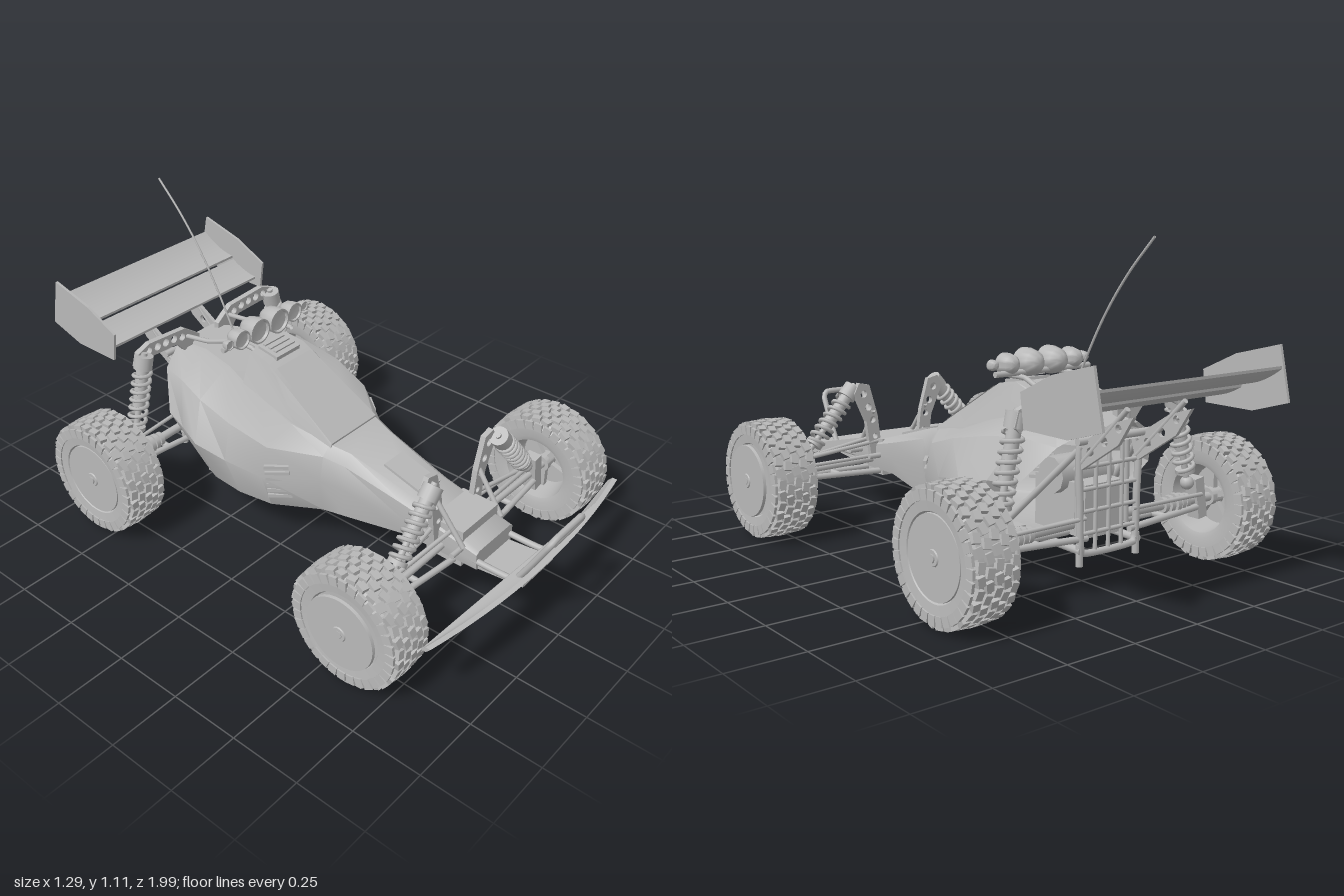
import * as THREE from 'three';
import { mergeGeometries, toCreasedNormals } from 'three/addons/utils/BufferGeometryUtils.js';

const grey = new THREE.MeshStandardMaterial({ color: 0xb8b8b8, side: THREE.DoubleSide });
grey.name = 'plain grey';
const V = (p) => new THREE.Vector3(...p);

export function createModel() {
  const car = new THREE.Group();
  car.name = 'buggy';

  const add = (name, geo, pos = [0, 0, 0], rot = [0, 0, 0], parent = car) => {
    const m = new THREE.Mesh(geo, grey);
    m.name = name;
    m.position.set(...pos);
    m.rotation.set(...rot);
    parent.add(m);
    return m;
  };
  const box = (name, size, pos, rot) => add(name, new THREE.BoxGeometry(...size), pos, rot);
  const tube = (name, pts, r, closed = false) => add(name, new THREE.TubeGeometry(
    new THREE.CatmullRomCurve3(pts.map(V), closed, 'catmullrom', 0.15), pts.length * 8, r, 8, closed));
  const rod = (name, a, b, r) => {
    const d = V(b).sub(V(a));
    const m = add(name, new THREE.CylinderGeometry(r, r, d.length(), 10), V(a).addScaledVector(d, 0.5).toArray());
    m.quaternion.setFromUnitVectors(new THREE.Vector3(0, 1, 0), d.normalize());
    return m;
  };
  // Flat plate from an outline, with round holes [x, y, r]
  const plate = (outline, holes, depth) => {
    const shape = new THREE.Shape(outline.map(([x, y]) => new THREE.Vector2(x, y)));
    for (const [x, y, r] of holes) shape.holes.push(new THREE.Path().absarc(x, y, r, 0, Math.PI * 2, true));
    return new THREE.ExtrudeGeometry(shape, { depth, bevelEnabled: false, curveSegments: 10 });
  };
  // Four-cornered skin panel
  const quad = (name, pts) => {
    const g = new THREE.BufferGeometry();
    g.setAttribute('position', new THREE.Float32BufferAttribute(pts.flat(), 3));
    g.setIndex([0, 1, 2, 0, 2, 3]);
    g.computeVertexNormals();
    add(name, g);
  };
  // Mirrored loft: each section is [z at bottom, z at top, x, y, x, y ...] from the belly up
  const loft = (name, sections, crease) => {
    const pos = [], idx = [];
    const n = sections[0].length - 2;
    for (const [zb, zt, ...p] of sections) {
      const half = [];
      const y0 = p[1], y1 = p[p.length - 1];
      for (let i = 0; i < p.length; i += 2)
        half.push([p[i], p[i + 1], zb + (zt - zb) * (p[i + 1] - y0) / (y1 - y0)]);
      const other = half.map(([x, y, z]) => [-x, y, z]).reverse();
      pos.push(...half.flat(), ...other.flat());
    }
    for (let i = 0; i < sections.length - 1; i++) for (let j = 0; j < n; j++) {
      const a = i * n + j, b = i * n + (j + 1) % n;
      idx.push(a, a + n, b, b, a + n, b + n);
    }
    for (let j = 1; j < n - 1; j++) idx.push(0, j, j + 1);
    const g = new THREE.BufferGeometry();
    g.setAttribute('position', new THREE.Float32BufferAttribute(pos, 3));
    g.setIndex(idx);
    add(name, toCreasedNormals(g, crease));
  };

  // Body shell with side pods, open at the rear
  loft('bodyShell', [
    [.73, .73, .08, .18, .1, .19, .105, .22, .105, .25, .09, .26],
    [.45, .45, .08, .18, .105, .19, .115, .25, .11, .31, .08, .335],
    [.2, .2, .1, .15, .135, .16, .145, .28, .135, .37, .1, .405],
    [.12, .12, .13, .145, .155, .16, .17, .29, .155, .385, .12, .42],
    [-.04, -.04, .19, .145, .25, .16, .295, .3, .265, .41, .14, .445],
    [-.15, -.2, .2, .145, .29, .18, .335, .33, .29, .455, .14, .5],
    [-.25, -.36, .19, .145, .3, .2, .35, .35, .28, .485, .135, .54],
    [-.3, -.5, .16, .145, .28, .21, .315, .36, .245, .5, .12, .55],
    [-.35, -.64, .13, .145, .24, .21, .28, .36, .2, .48, .1, .53],
  ], 0.7);
  loft('cabin', [
    [.13, .13, .13, .38, .125, .415, .12, .425],
    [-.07, -.07, .15, .41, .135, .455, .105, .545],
    [-.19, -.19, .15, .43, .135, .485, .097, .617],
    [-.27, -.27, .15, .45, .135, .505, .09, .63],
    [-.64, -.64, .12, .48, .11, .51, .08, .535],
  ], 0.4);
  quad('windscreen', [[-.105, .452, .1], [.105, .452, .1], [.088, .602, -.15], [-.088, .602, -.15]]);
  box('roofVent', [.12, .02, .09], [0, .622, -.22], [.16, 0, 0]);
  for (let i = 0; i < 3; i++) box('roofVentSlat', [.1, .006, .012], [0, .636 + i * .004, -.195 - i * .025], [.16, 0, 0]);
  box('bonnetPanel', [.1, .012, .17], [0, .357, .385], [.27, 0, 0]);
  for (const s of [1, -1]) {
    quad('sideWindow', [[s * .139, .455, -.03], [s * .141, .51, -.27], [s * .098, .624, -.27], [s * .106, .585, -.14]]);
    for (let i = 0; i < 6; i++) box('sideLouvre', [.012, .012, .085], [s * (.245 + i * .0035), .215 + i * .026, 0], [0, -s * .68, 0]);
  }

  // Wheels: outer face points along local +y
  const tyre = toCreasedNormals(new THREE.LatheGeometry([
    [0, -.03], [.03, -.03], [.03, .02], [.1, .02], [.118, -.074], [.135, -.08], [.178, -.08], [.198, -.062], [.203, 0],
    [.198, .062], [.178, .08], [.135, .076], [.13, .068], [.06, .066], [0, .066],
  ].map(([r, y]) => new THREE.Vector2(r, y)), 40), 0.6);
  const blocks = [];
  [-.079, -.06, -.03, 0, .03, .06, .079].forEach((y, row) => {
    const side = Math.abs(y) > .07;
    for (let i = 0; i < 32; i++) {
      const b = new THREE.BoxGeometry(side ? .032 : .02, side ? .01 : .025, .03);
      b.rotateX(side ? 0 : (i % 2 ? .2 : -.2));
      b.translate(side ? .182 : .205 - Math.abs(y) * .07, y, 0);
      b.rotateY((i + (row % 2) * .5) / 32 * Math.PI * 2);
      blocks.push(b);
    }
  });
  const tread = mergeGeometries(blocks);
  const wheel = (name, s, x, z, front) => {
    const g = new THREE.Group();
    g.name = name;
    g.position.set(x, .215, z);
    g.rotation.z = -s * Math.PI / 2;
    car.add(g);
    add('tyre', tyre, undefined, undefined, g);
    add('tread', tread, undefined, undefined, g);
    add('hubCap', new THREE.CylinderGeometry(.129, .131, .01, 36), [0, front ? .09 : .07, 0], undefined, g);
    add('hubFlange', new THREE.CylinderGeometry(.024, .03, .01, 16), [0, front ? .094 : .074, 0], undefined, g);
    add('wheelNut', new THREE.CylinderGeometry(.014, .014, .03, 6), [0, front ? .086 : .069, 0], undefined, g);
    for (let i = 0; i < 5; i++) {
      const a = i / 5 * Math.PI * 2;
      add('rimSpoke', new THREE.BoxGeometry(.08, .02, .02), [Math.cos(a) * .065, 0, -Math.sin(a) * .065], [0, a, 0], g);
    }
  };
  wheel('frontWheelLeft', 1, .543, .59, true);
  wheel('frontWheelRight', -1, -.543, .6, true);
  wheel('rearWheelLeft', 1, .563, -.58, false);
  wheel('rearWheelRight', -1, -.537, -.57, false);

  // Coil-over shock from top point a to bottom point b
  const shock = (name, a, b) => {
    const d = V(b).sub(V(a)), L = d.length(), g = new THREE.Group();
    g.name = name;
    g.position.copy(V(a));
    g.quaternion.setFromUnitVectors(new THREE.Vector3(0, -1, 0), d.normalize());
    car.add(g);
    const cyl = (n, r, len, at) => add(n, new THREE.CylinderGeometry(r, r, len, 16), [0, -at, 0], undefined, g);
    cyl('shockShaft', .011, L, L / 2);
    cyl('shockBody', .023, L * .6, L * .34);
    cyl('shockCap', .034, .05, .035);
    cyl('springSeat', .033, .015, L - .045);
    add('shockEye', new THREE.SphereGeometry(.024, 12, 8), [0, -L, 0], undefined, g);
    const coil = [];
    for (let i = 0; i <= 70; i++) {
      const t = i / 10 * Math.PI * 2;
      coil.push(new THREE.Vector3(Math.cos(t) * .031, -.07 - (L - .12) * i / 70, Math.sin(t) * .031));
    }
    add('spring', new THREE.TubeGeometry(new THREE.CatmullRomCurve3(coil), 110, .0075, 6), undefined, undefined, g);
  };

  // Suspension, mirrored left and right
  for (const s of [1, -1]) {
    shock('frontShock', [s * .175, .52, .6], [s * .385, .28, .6]);
    shock('rearShock', [s * .325, .61, -.57], [s * .4, .28, -.575]);
    for (const z of [.595, -.575]) {
      const f = z > 0;
      for (const dz of [-.045, .045]) {
        rod('lowerArm', [s * .09, .185, z + dz], [s * .43, .195, z + dz * .4], .011);
        if (f) rod('upperArm', [s * .1, .3, z + dz * .7], [s * .43, .26, z], .008);
      }
      rod('armBrace', [s * .27, .19, z - .03], [s * .27, .19, z + .03], .011);
      rod('axle', [s * .07, .225, z], [s * .53, .215, z], f ? .012 : .016);
      rod('trackRod', [s * .1, .25, z - .05], [s * .44, .24, z - .03], .007);
      box('upright', [.04, .14, .05], [s * .445, .225, z], [0, 0, s * .15]);
      if (!f) for (let i = 0; i < 5; i++)
        rod('axleBoot', [s * (.28 + i * .025), .22, z], [s * (.297 + i * .025), .22, z], .034 - Math.abs(i - 2) * .004);
    }
    // Drilled shock towers
    add('frontTower', plate([[.08, .24], [.13, .24], [.15, .38], [.2, .49], [.18, .53], [.135, .52], [.1, .4]].map(([x, y]) => [x * s, y]),
      [[s * .112, .32, .011], [s * .122, .385, .013], [s * .14, .435, .014], [s * .16, .487, .014]], .02), [0, 0, .56]);
    rod('towerBrace', [s * .12, .42, .56], [s * .11, .26, .68], .009);
    add('rearTower', plate([[.05, .47], [.1, .5], [.16, .57], [.29, .575], [.34, .54], [.36, .56], [.345, .61], [.29, .63], [.12, .62], [.05, .57]].map(([x, y]) => [x * s, y]),
      [[s * .135, .59, .014], [s * .175, .598, .015], [s * .215, .601, .015], [s * .255, .602, .015], [s * .295, .602, .013]], .022), [0, 0, -.6]);
    rod('rearTowerPost', [s * .1, .2, -.59], [s * .1, .58, -.59], .012);
    // Roof rails and rear bay tubes
    tube('roofRail', [[s * .1, .65, -.25], [s * .1, .65, -.33], [s * .105, .6, -.47], [s * .11, .58, -.6]], .009);
    rod('chassisRail', [s * .12, .155, -.3], [s * .12, .15, -.63], .013);
    rod('diagonalTube', [s * .2, .2, -.36], [s * .12, .48, -.63], .011);
    rod('skidPeg', [s * .12, .1, -.62], [s * .12, .17, -.62], .012);
    box('floorRail', [.1, .04, .05], [s * .18, .16, -.35]);
    // Wing supports
    add('wingBracket', plate([[-.62, .4], [-.6, .47], [-.76, .57], [-.85, .6], [-.79, .51]], [[-.79, .558, .013], [-.73, .51, .015], [-.67, .468, .015]], .014)
      .rotateY(-Math.PI / 2), [s * .12 + .007, 0, 0]);
    rod('wingStrut', [s * .12, .4, -.6], [s * .12, .62, -.82], .009);
    add('wingEndPlate', plate([[-.655, .675], [-.79, .74], [-.96, .785], [-.998, .61], [-.86, .568], [-.67, .568]], [], .01)
      .rotateY(-Math.PI / 2), [s * .38 + .005, 0, 0]);
  }

  // Rear wing: two scooped blades, steep at the back and flat at the front
  for (const [zb, yb, zf, yf] of [[-.97, .72, -.82, .658], [-.815, .645, -.695, .605]]) {
    const foil = new THREE.Shape();
    const zc = zb + (zf - zb) * .5, yc = yf + .004;
    foil.moveTo(zb, yb).quadraticCurveTo(zc, yc, zf, yf).lineTo(zf, yf - .009).quadraticCurveTo(zc, yc - .009, zb, yb - .009);
    const g = new THREE.ExtrudeGeometry(foil, { depth: .76, bevelEnabled: false, curveSegments: 10 }).rotateY(-Math.PI / 2);
    add('wingBlade', toCreasedNormals(g, 0.6), [.38, 0, 0]);
  }

  // Rear bay: gearbox, motor and cage
  box('gearbox', [.16, .17, .24], [0, .26, -.48]);
  rod('motor', [-.11, .36, -.47], [.11, .36, -.47], .06);
  rod('rearCrossTube', [-.16, .5, -.65], [.16, .5, -.65], .012);
  tube('rearCage', [[-.11, .14, -.62], [.11, .14, -.62], [.12, .3, -.62], [.12, .49, -.62], [-.12, .49, -.62], [-.12, .3, -.62]], .012, true);
  for (let i = 0; i < 4; i++) rod('cageBar', [-.115, .2 + i * .07, -.62], [.115, .2 + i * .07, -.62], .007);
  for (let i = -1; i <= 1; i++) rod('cageUpright', [i * .055, .14, -.62], [i * .055, .49, -.62], .007);

  // Lamps on the roof bar
  rod('lampBar', [-.2, .665, -.3], [.2, .665, -.3], .01);
  for (const s of [1, -1]) for (const [x, r] of [[.05, .047], [.135, .036], [.192, .018]]) {
    const bowl = [[0, -1.5], [.5, -1.35], [.85, -.9], [1, -.2], [1, .35], [.88, .35], [.8, .15], [0, .05]];
    add('roofLamp', toCreasedNormals(new THREE.LatheGeometry(bowl.map(([a, b]) => new THREE.Vector2(a * r, b * r)), 24), 0.7),
      [s * x, .693, -.275], [Math.PI / 2, 0, 0]);
  }

  // Whip aerial
  add('aerial', new THREE.TubeGeometry(new THREE.CatmullRomCurve3(
    [[0, .57, -.43], [0, .74, -.515], [0, .875, -.595], [0, 1, -.69], [0, 1.11, -.795]].map(V)), 24, .004, 6));

  // Front bumper: crescent blade bent backwards at the tips
  const crescent = new THREE.Shape();
  crescent.moveTo(-.55, .258).quadraticCurveTo(0, .25, .55, .258).lineTo(.55, .24).quadraticCurveTo(0, .168, -.55, .24);
  const blade = new THREE.ExtrudeGeometry(crescent, { depth: .018, bevelEnabled: false, curveSegments: 20 });
  const p = blade.attributes.position;
  for (let i = 0; i < p.count; i++)
    p.setZ(i, p.getZ(i) + .908 - .055 * (p.getX(i) / .55) ** 2 - (.255 - p.getY(i)) * .9);
  blade.computeVertexNormals();
  add('frontBumper', blade);
  tube('bumperHoop', [[-.095, .22, .7], [-.095, .225, .87], [-.095, .41, .975], [-.075, .435, .985], [.075, .435, .985],
    [.095, .41, .975], [.095, .225, .87], [.095, .22, .7]], .011);
  box('noseSkid', [.18, .012, .2], [0, .2, .8], [-.1, 0, 0]);
  box('frontBulkhead', [.2, .14, .14], [0, .24, .6]);
  for (const z of [.53, .67]) rod('frontCrossPin', [-.16, .25, z], [.16, .25, z], .01);

  return car;
}
